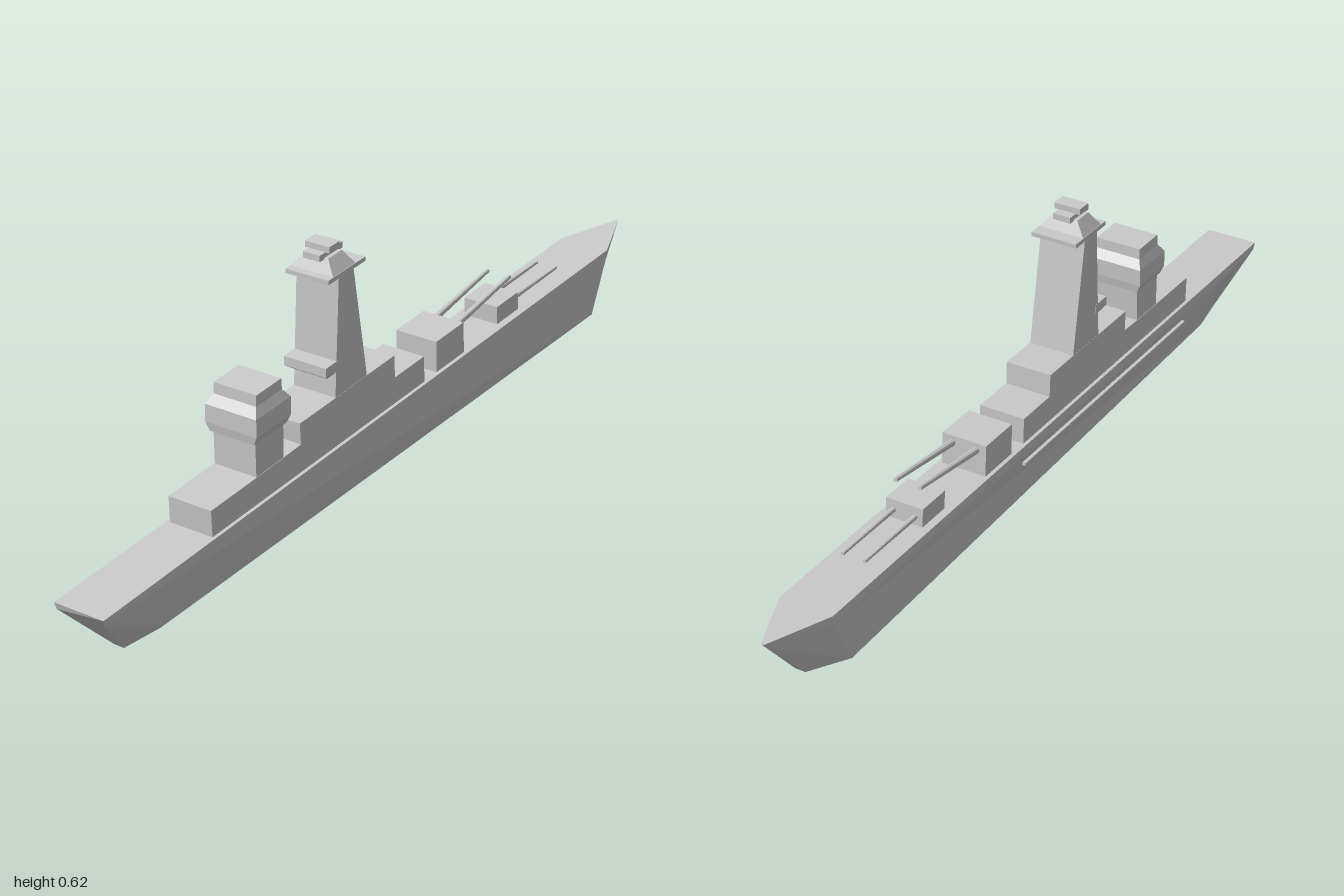
import * as THREE from 'three';

const SLOPE = 0.055; // the whole ship trims slightly up towards the bow
const TILT = Math.atan(SLOPE);
const deckY = x => 0.19 + SLOPE * x;

export function createModel() {
  const ship = new THREE.Group();
  ship.name = 'warship';
  const material = new THREE.MeshStandardMaterial({ color: 0xcccccc, flatShading: true });

  const add = (name, geometry) => {
    const mesh = new THREE.Mesh(geometry, material);
    mesh.name = name;
    ship.add(mesh);
    return mesh;
  };

  // Skin between matching rings, counter-clockwise seen from the last ring, capped at both ends
  const loft = (name, rings) => {
    const pos = [];
    const tri = (...pts) => pts.forEach(p => pos.push(...p));
    const n = rings[0].length;
    for (let r = 0; r < rings.length - 1; r++) {
      const a = rings[r], b = rings[r + 1];
      for (let i = 0; i < n; i++) {
        const j = (i + 1) % n;
        tri(a[i], a[j], b[j]);
        tri(a[i], b[j], b[i]);
      }
    }
    const first = rings[0], last = rings[rings.length - 1];
    for (let i = 1; i < n - 1; i++) {
      tri(first[0], first[i + 1], first[i]);
      tri(last[0], last[i], last[i + 1]);
    }
    const g = new THREE.BufferGeometry();
    g.setAttribute('position', new THREE.Float32BufferAttribute(pos, 3));
    g.computeVertexNormals();
    return add(name, g);
  };

  // Stack of rectangles [y, halfX, halfZ] around x = cx, following the trim
  const stack = (name, cx, levels) => loft(name, levels.map(([y, hx, hz]) =>
    [[1, 1], [1, -1], [-1, -1], [-1, 1]].map(([sx, sz]) =>
      [cx + sx * hx, y + sx * hx * SLOPE, sz * hz])));

  // Side outline extruded across the beam
  const slab = (name, points, halfZ) => {
    const shape = new THREE.Shape(points.map(p => new THREE.Vector2(...p)));
    const g = new THREE.ExtrudeGeometry(shape, { depth: 2 * halfZ, bevelEnabled: false });
    return add(name, g.translate(0, 0, -halfZ));
  };

  // Hull: per station, [x, y, halfWidth] for deck edge, sheer line and bottom
  const stations = [
    [[-1, 0.135, 0.062], [-0.995, 0.118, 0.06], [-0.885, 0, 0.012]],
    [[-0.8, deckY(-0.8), 0.062], [-0.8, 0.125, 0.062], [-0.79, 0.005, 0.028]],
    [[0.85, deckY(0.85), 0.062], [0.845, 0.212, 0.062], [0.79, 0.093, 0.062]],
    [[1, 0.245, 0.003], [0.982, 0.225, 0.005], [0.88, 0.1, 0.012]],
  ];
  loft('hull', stations.map(s => [
    ...s.map(([x, y, w]) => [x, y, w]),
    ...s.slice().reverse().map(([x, y, w]) => [x, y, -w]),
  ]));

  // Thin strake along the right side
  const strake = add('strake', new THREE.BoxGeometry(0.74, 0.006, 0.008));
  strake.position.set(-0.26, deckY(-0.26) - 0.045, -0.061);
  strake.rotation.z = TILT;

  // Stepped deckhouse
  slab('deckhouse', [
    [-0.65, 0.14], [0.1, 0.18], [0.097, 0.257], [-0.013, 0.251], [-0.016, 0.304],
    [-0.12, 0.298], [-0.23, 0.291], [-0.355, 0.284], [-0.352, 0.235], [-0.41, 0.23],
    [-0.5, 0.224], [-0.653, 0.215],
  ], 0.054);

  // Funnel with swollen head
  stack('funnel', -0.457, [
    [0.2, 0.045, 0.053], [0.302, 0.047, 0.053], [0.305, 0.055, 0.056], [0.325, 0.058, 0.065],
    [0.365, 0.058, 0.065], [0.385, 0.043, 0.054], [0.41, 0.042, 0.054],
  ]);

  // Tower, its aft balcony and lookout
  slab('tower', [[-0.23, 0.28], [-0.115, 0.29], [-0.163, 0.562], [-0.215, 0.56]], 0.0535);
  stack('towerBalcony', -0.238, [[0.345, 0.016, 0.05], [0.352, 0.025, 0.054], [0.373, 0.025, 0.054]]);
  stack('lookoutPlatform', -0.187, [[0.56, 0.065, 0.054], [0.57, 0.065, 0.054]]);
  stack('lookoutRoof', -0.195, [[0.568, 0.04, 0.054], [0.599, 0.024, 0.03]]);
  stack('rangefinderBase', -0.196, [[0.596, 0.04, 0.021], [0.61, 0.04, 0.021]]);
  stack('rangefinder', -0.198, [[0.609, 0.018, 0.031], [0.623, 0.018, 0.031]]);

  // Gun turrets, each with a pair of barrels
  const turret = (name, outline, halfZ, from, to, z, rBase, rTip) => {
    slab(name + 'Turret', outline, halfZ);
    const dx = to[0] - from[0], dy = to[1] - from[1];
    for (const side of [-1, 1]) {
      const barrel = add(name + 'Barrel', new THREE.CylinderGeometry(rTip, rBase, Math.hypot(dx, dy), 8));
      barrel.position.set((from[0] + to[0]) / 2, (from[1] + to[1]) / 2, side * z);
      barrel.rotation.z = Math.atan2(dy, dx) - Math.PI / 2;
    }
  };
  turret('upper', [[0.148, 0.18], [0.257, 0.19], [0.252, 0.278], [0.146, 0.272]], 0.053,
    [0.24, 0.259], [0.475, 0.3], 0.029, 0.008, 0.005);
  turret('lower', [[0.405, 0.2], [0.492, 0.205], [0.488, 0.26], [0.403, 0.255]], 0.044,
    [0.47, 0.236], [0.68, 0.246], 0.026, 0.006, 0.004);

  return ship;
}
